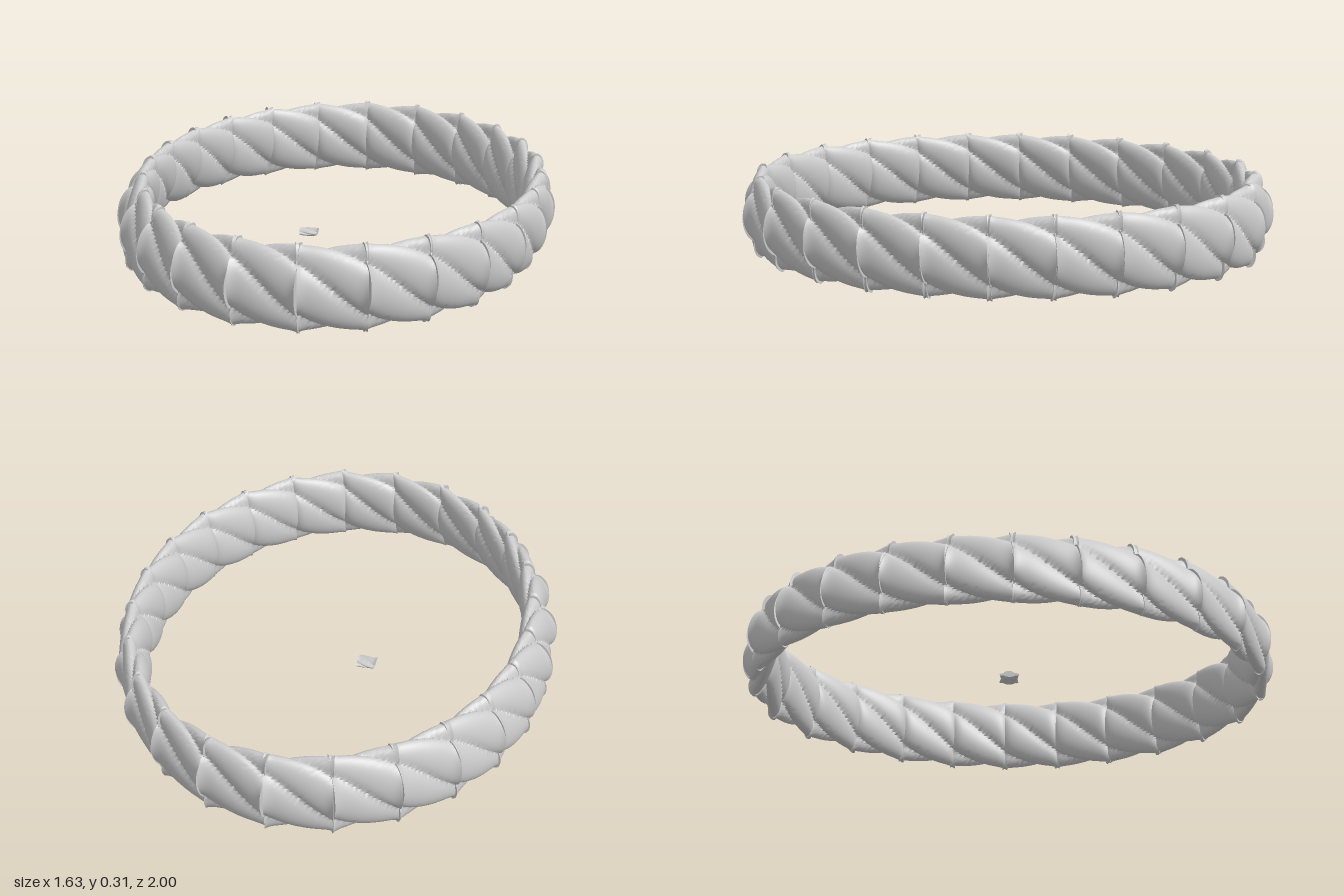
import * as THREE from 'three';
import { toCreasedNormals } from 'three/addons/utils/BufferGeometryUtils.js';

const COUNT = 24;         // rope pieces around the oval
const RX = 0.738, RZ = 0.92;
const HALF_H = 0.146, HALF_T = 0.054;
const END = 0.54;         // half length of a piece, a little past each seam

// One unit-long piece of flattened four-strand rope: x along, y up, z outward
function ropePiece() {
  const rows = 28, sides = 64, pos = [], idx = [];
  for (let i = 0; i <= rows; i++) {
    const t = (i / rows * 2 - 1) * END;
    const flare = Math.pow(Math.abs(t) / END, 8);
    for (let j = 0; j < sides; j++) {
      const a = (j / sides) * Math.PI * 2;
      // strand crests turn a quarter per piece
      const lobe = Math.abs(Math.cos(2 * a - Math.PI * (t + 0.5)));
      const round = Math.sqrt(lobe);
      // ends flare into spikes outside and draw back on the inner side
      const tip = flare * (Math.sin(a) > -0.01 ? 0.25 * lobe : -0.4);
      pos.push(
        t,
        HALF_H * (0.8 + 0.2 * round + 0.07 * flare * lobe) * Math.cos(a),
        HALF_T * (0.58 + 0.46 * round + tip) * Math.sin(a)
      );
    }
  }
  for (let i = 0; i < rows; i++) {
    for (let j = 0; j < sides; j++) {
      const k = (j + 1) % sides;
      const a = i * sides + j, b = i * sides + k, c = a + sides, d = b + sides;
      idx.push(a, b, c, b, d, c);
    }
  }
  // end caps
  const start = pos.length / 3, end = start + 1, last = rows * sides;
  pos.push(-END, 0, 0, END, 0, 0);
  for (let j = 0; j < sides; j++) {
    const k = (j + 1) % sides;
    idx.push(start, k, j, end, last + j, last + k);
  }
  const g = new THREE.BufferGeometry();
  g.setAttribute('position', new THREE.Float32BufferAttribute(pos, 3));
  g.setIndex(idx);
  return toCreasedNormals(g, 0.7);
}

export function createModel() {
  const model = new THREE.Group();
  model.name = 'twistedRopeRing';
  const material = new THREE.MeshStandardMaterial({ color: 0xcccccc, side: THREE.DoubleSide });
  const geometry = ropePiece();

  // oval ring of pieces evenly spaced along its length, starting at the front
  const ring = new THREE.Group();
  ring.name = 'ropeRing';
  const oval = new THREE.EllipseCurve(0, 0, RX, RZ, Math.PI / 2, -Math.PI * 1.5, true);
  oval.arcLengthDivisions = 720;
  const pitch = oval.getLength() / COUNT;
  for (let i = 0; i < COUNT; i++) {
    const u = (i + 0.5) / COUNT;
    const p = oval.getPointAt(u), dir = oval.getTangentAt(u);
    const piece = new THREE.Mesh(geometry, material);
    piece.name = 'ropePiece';
    piece.position.set(p.x, 0.165, p.y);
    // follow the oval, with the tops leaning toward +x, most on the -x side
    piece.rotation.set(0.16 * p.x / RX - 0.07, Math.atan2(-dir.y, dir.x), 0, 'YXZ');
    piece.scale.x = pitch;
    ring.add(piece);
  }
  model.add(ring);

  // tiny loose piece lying flat near the middle
  const loose = new THREE.Mesh(geometry, material);
  loose.name = 'loosePiece';
  loose.position.set(-0.11, 0.04, 0);
  loose.rotation.x = -Math.PI / 2;
  loose.scale.set(0.062, 0.23, 0.23);
  model.add(loose);
  return model;
}
